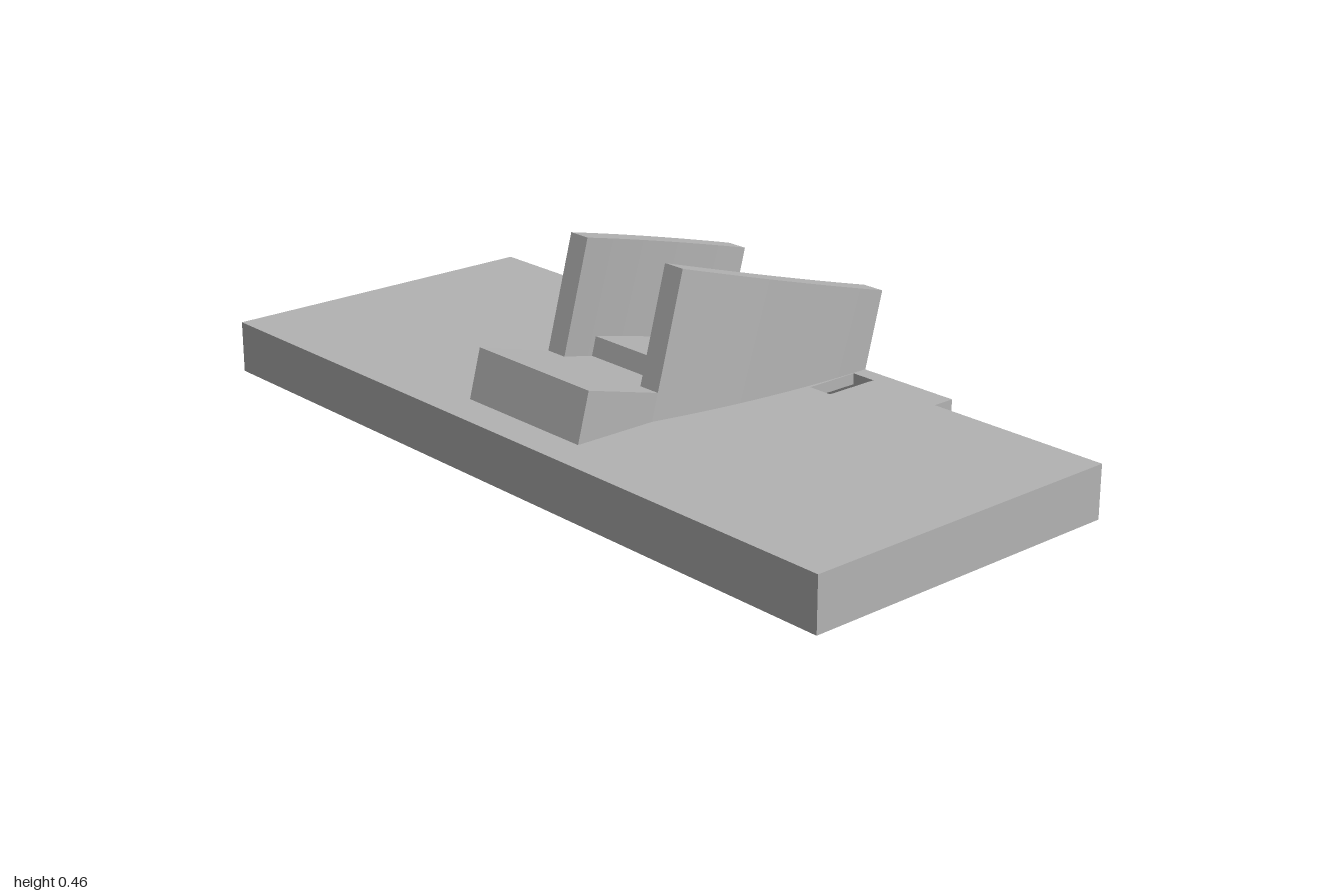
import * as THREE from 'three';
import { toCreasedNormals } from 'three/addons/utils/BufferGeometryUtils.js';

const TILT = Math.PI / 12;
const X0 = -0.475, X1 = 0.368, LIP = 0.425, WALL = 0.04;

// Flat layer of the base: a plan outline (x, z) with holes, from y0 to y1
function layer(outline, holes, y0, y1) {
  const toPoints = (list) => list.map(([x, z]) => new THREE.Vector2(x, z));
  const shape = new THREE.Shape(toPoints(outline));
  holes.forEach((h) => shape.holes.push(new THREE.Path(toPoints(h))));
  const geo = new THREE.ExtrudeGeometry(shape, { depth: y1 - y0, bevelEnabled: false });
  return geo.rotateX(-Math.PI / 2).translate(0, y0, 0);
}

const rect = (xa, xb, za, zb) => [[xa, za], [xb, za], [xb, zb], [xa, zb]];

// Solid through rectangular sections [s, top, z0, z1] along the tilted axis;
// the underside follows the level top of the base
function loft(sections) {
  const pos = [], index = [];
  for (const [s, top, z0, z1] of sections) {
    const low = (0.12 + s * Math.sin(TILT)) / Math.cos(TILT);
    pos.push(s, low, z0, s, top, z0, s, top, z1, s, low, z1);
  }
  for (let i = 0; i < sections.length - 1; i++) {
    for (let k = 0; k < 4; k++) {
      const a = i * 4 + k, b = i * 4 + (k + 1) % 4;
      index.push(b, b + 4, a + 4, b, a + 4, a);
    }
  }
  const e = (sections.length - 1) * 4;
  index.push(0, 3, 2, 0, 2, 1, e, e + 1, e + 2, e, e + 2, e + 3);
  const geo = new THREE.BufferGeometry();
  geo.setAttribute('position', new THREE.Float32BufferAttribute(pos, 3));
  geo.setIndex(index);
  return toCreasedNormals(geo, 0.4);
}

export function createModel() {
  const model = new THREE.Group();
  model.name = 'cradleOnPlate';
  const grey = new THREE.MeshStandardMaterial({ color: 0xb3b3b3 });
  grey.name = 'grey';
  const add = (parent, name, geo) => {
    const mesh = new THREE.Mesh(geo, grey);
    mesh.name = name;
    parent.add(mesh);
  };

  // Base plate: hollow below, with a wide lip on the +x edge
  const base = new THREE.Group();
  base.name = 'base';
  model.add(base);
  const plan = [[X0, -1], [X1, -1], [X1, -0.53], [LIP, -0.53],
    [LIP, 0.53], [X1, 0.53], [X1, 1], [X0, 1]];
  const SLOT = 0.325, hx0 = 0.243, hx1 = 0.385;
  const xi0 = X0 + WALL, xi1 = X1 - WALL, zi = 1 - WALL;
  add(base, 'plateTop', layer(plan,
    [rect(hx0, hx1, 0.262, SLOT), rect(hx0, hx1, -SLOT, -0.262)], 0.1, 0.127));
  add(base, 'plateUnderside', layer(plan, [rect(hx0, hx1, -SLOT, SLOT)], 0.052, 0.1));

  // Rim around the hollow, its upper layer open at the slot
  add(base, 'slottedRim', layer([
    [X1, SLOT], [X1, 1], [X0, 1], [X0, -1], [X1, -1], [X1, -SLOT],
    [xi1, -SLOT], [xi1, -zi], [xi0, -zi], [xi0, zi], [xi1, zi], [xi1, SLOT],
  ], [], 0.025, 0.052));
  add(base, 'lowerRim', layer(rect(X0, X1, -1, 1), [rect(xi0, xi1, -zi, zi)], 0, 0.025));

  // Tilted cradle
  const cradle = new THREE.Group();
  cradle.name = 'cradle';
  cradle.rotation.z = -TILT;
  model.add(cradle);
  const S0 = -0.202, S1 = 0.379;
  const outer = (s) => 0.26 - 0.07 * ((S1 - s) / (S1 - S0)) ** 2;
  const THICK = 0.058;

  // Curved side arms
  const stations = Array.from({ length: 17 }, (_, i) => S0 + (S1 - S0) * i / 16);
  add(cradle, 'leftArm', loft(stations.map((s) => [s, 0.422, outer(s) - THICK, outer(s)])));
  add(cradle, 'rightArm', loft(stations.map((s) => [s, 0.422, -outer(s), THICK - outer(s)])));

  // Rear block
  add(cradle, 'rearBlock', loft([[-0.406, 0.143, -0.19, 0.19], [S0, 0.143, -0.19, 0.19]]));

  // Stepped floor between the arms
  const steps = [[S0, -0.097, 0.143], [-0.097, 0.152, 0.19], [0.152, S1, 0.233]];
  const floor = [];
  for (const [a, b, top] of steps) {
    for (let i = 0; i <= 4; i++) {
      const s = a + (b - a) * i / 4, half = outer(s) - THICK / 2;
      floor.push([s, top, -half, half]);
    }
  }
  add(cradle, 'steppedFloor', loft(floor));

  return model;
}
